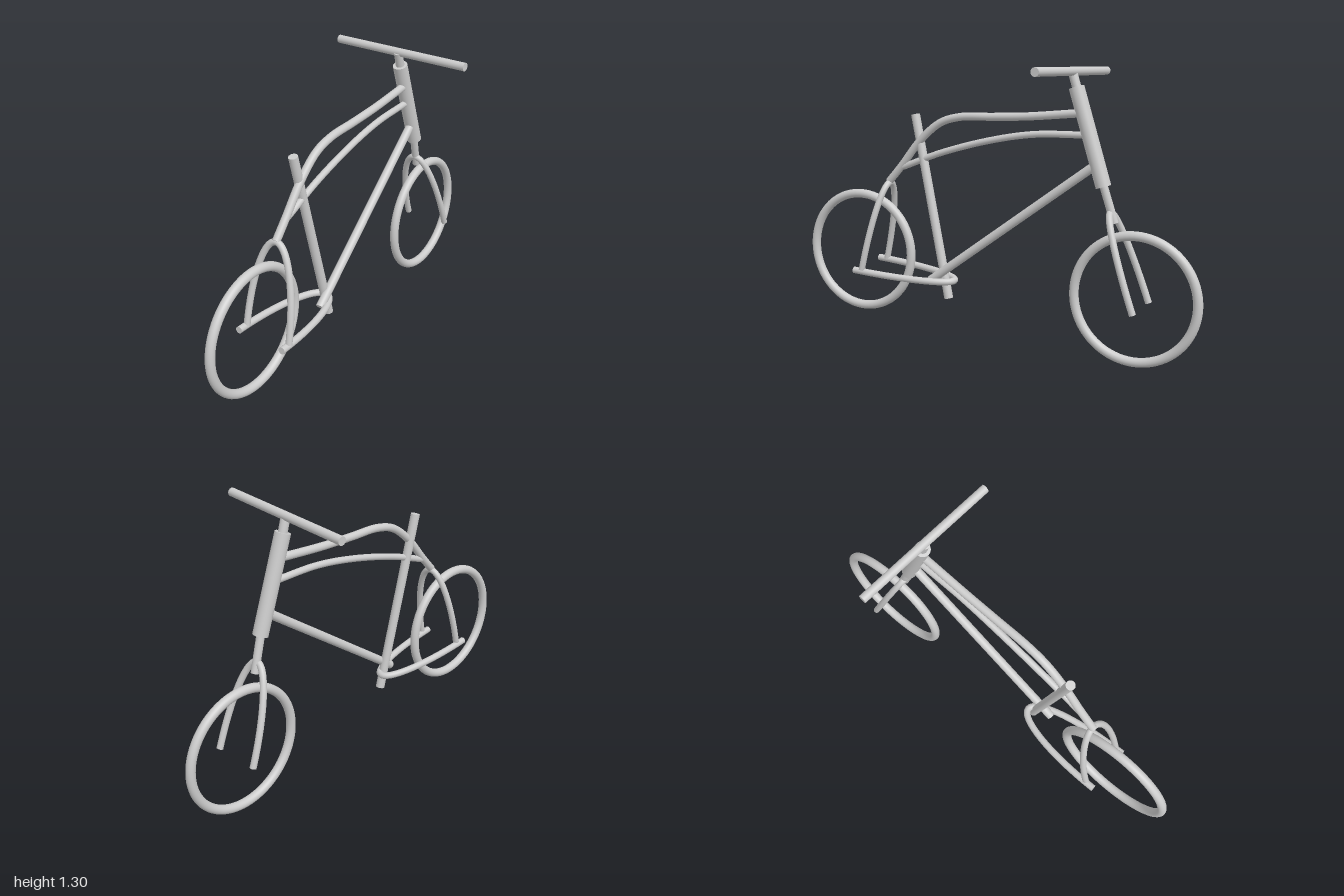
import * as THREE from 'three';

const material = new THREE.MeshStandardMaterial({ color: 0xcccccc });
const V = (p) => new THREE.Vector3(...p);

export function createModel() {
  const group = new THREE.Group();
  group.name = 'bicycle';

  const add = (name, geometry, parent = group) => {
    const mesh = new THREE.Mesh(geometry, material);
    mesh.name = name;
    parent.add(mesh);
    return mesh;
  };

  // Straight closed tube between two points
  const rod = (name, a, b, radius) => {
    const from = V(a), axis = V(b).sub(from);
    const mesh = add(name, new THREE.CylinderGeometry(radius, radius, axis.length(), 32));
    mesh.position.copy(from).addScaledVector(axis, 0.5);
    mesh.quaternion.setFromUnitVectors(new THREE.Vector3(0, 1, 0), axis.normalize());
  };

  // Bent tube through points, with a flat cap on each end
  const bent = (name, points, radius) => {
    const part = new THREE.Group();
    part.name = name;
    group.add(part);
    const curve = new THREE.CatmullRomCurve3(points);
    add(name + 'Tube', new THREE.TubeGeometry(curve, 80, radius, 20), part);
    for (const t of [0, 1]) {
      const cap = add(name + 'Cap', new THREE.CircleGeometry(radius, 20), part);
      cap.position.copy(curve.getPointAt(t));
      const out = curve.getTangentAt(t).multiplyScalar(t ? 1 : -1);
      cap.quaternion.setFromUnitVectors(new THREE.Vector3(0, 0, 1), out);
    }
  };

  // Half-ellipse arch: apex in the middle, one leg ending on each side
  const arch = (name, apex, right, left, radius) => {
    const mid = V(right).lerp(V(left), 0.5);
    const side = V(left).sub(mid), rise = V(apex).sub(mid);
    const points = [];
    for (let i = 0; i <= 24; i++) {
      const a = Math.PI * (1 - i / 24);
      points.push(mid.clone().addScaledVector(side, Math.cos(a)).addScaledVector(rise, Math.sin(a)));
    }
    bent(name, points, radius);
  };

  // Wheels
  for (const [name, y, z] of [['rearWheel', 0.385, 0.7], ['frontWheel', 0.302, -0.7]]) {
    const wheel = add(name, new THREE.TorusGeometry(0.279, 0.021, 24, 80));
    wheel.rotation.y = Math.PI / 2;
    wheel.position.set(-0.014, y, z);
  }

  // Straight frame tubes
  rod('seatTube', [-0.02, 1.06, 0.39], [0.013, 0.205, 0.2], 0.021);
  rod('downTube', [0.03, 0.285, 0.29], [0.006, 0.87, -0.51], 0.02);
  rod('headTube', [-0.006, 1.205, -0.422], [0.005, 0.785, -0.557], 0.034);

  // Steering column and handlebar
  rod('stem', [-0.006, 1.272, -0.402], [-0.006, 1.18, -0.43], 0.02);
  rod('steererTube', [0.004, 0.81, -0.55], [-0.006, 0.63, -0.606], 0.018);
  rod('handlebar', [-0.345, 1.265, -0.43], [0.345, 1.279, -0.385], 0.019);

  // Curved upper frame tubes
  bent('topTube', [
    [-0.01, 0.735, 0.535], [-0.01, 0.815, 0.463], [-0.008, 0.94, 0.358], [-0.006, 1.026, 0.25],
    [-0.004, 1.057, 0.145], [-0.002, 1.064, -0.02], [0, 1.072, -0.19], [0.003, 1.095, -0.44],
  ].map(V), 0.018);
  bent('middleTube', [
    [-0.01, 0.81, 0.455], [-0.008, 0.89, 0.24], [-0.004, 0.96, -0.02], [0, 0.995, -0.23], [0.002, 1.003, -0.47],
  ].map(V), 0.015);

  // Arched fork and rear stays
  arch('fork', [-0.004, 0.675, -0.588], [-0.113, 0.268, -0.733], [0.102, 0.266, -0.733], 0.015);
  arch('seatStays', [-0.01, 0.73, 0.532], [-0.117, 0.325, 0.625], [0.107, 0.315, 0.625], 0.015);
  arch('chainStays', [-0.012, 0.285, 0.185], [-0.122, 0.327, 0.673], [0.103, 0.309, 0.671], 0.016);

  return group;
}
